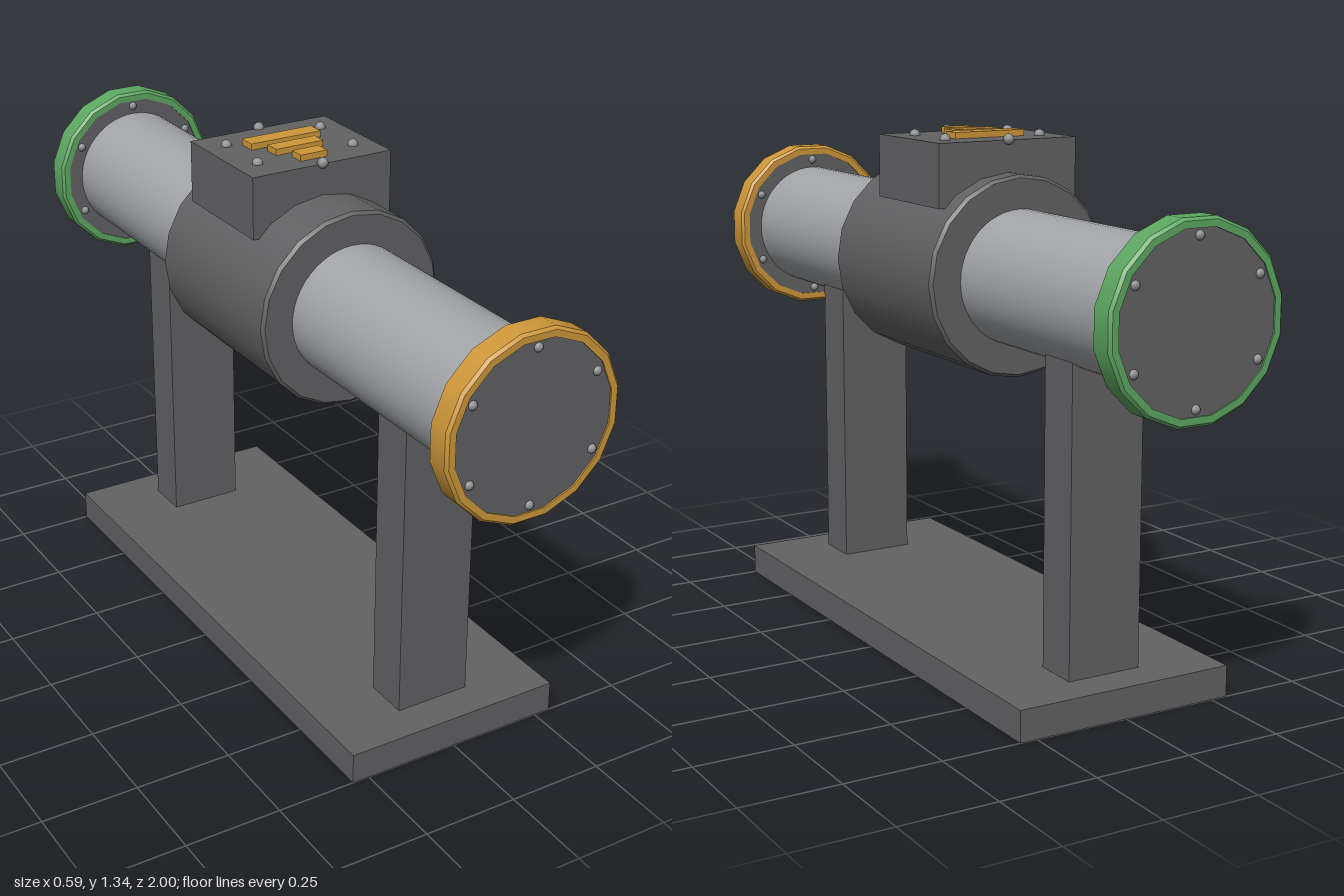
import * as THREE from 'three';

const mat = (name, color) => Object.assign(new THREE.MeshStandardMaterial({ color }), { name });

export function createModel() {
  const dark = mat('darkGrey', 0x626264);
  const steel = mat('pipeGrey', 0xa2a4a8);
  const amber = mat('amber', 0xcf983a);
  const green = mat('green', 0x5ea862);
  const boltGrey = mat('boltGrey', 0x8c8e90);

  const model = new THREE.Group();
  model.name = 'pipeStand';
  const AXIS_Y = 0.993;

  function add(parent, name, geometry, material, x = 0, y = 0, z = 0) {
    const mesh = new THREE.Mesh(geometry, material);
    mesh.name = name;
    mesh.position.set(x, y, z);
    parent.add(mesh);
    return mesh;
  }
  const box = (w, h, d) => new THREE.BoxGeometry(w, h, d);
  const rod = (r, len, n) => new THREE.CylinderGeometry(r, r, len, n).rotateX(Math.PI / 2);

  // Ring along z with chamfered outer corners; each band gets its own crease
  function ring(inner, outer, len, bevel, sides, turn) {
    const h = len / 2;
    const p = [[inner, -h], [outer - bevel, -h], [outer, -h + bevel], [outer, h - bevel], [outer - bevel, h], [inner, h], [inner, -h]];
    const group = new THREE.Group();
    for (let i = 0; i < p.length - 1; i++) {
      const pts = [p[i], p[i + 1]].map(([r, y]) => new THREE.Vector2(r, y));
      const g = new THREE.LatheGeometry(pts, sides, turn).rotateX(Math.PI / 2);
      group.userData[i] = g;
    }
    return Object.values(group.userData);
  }
  function addRing(parent, name, geometries, material, y, z) {
    const g = new THREE.Group();
    g.name = name;
    g.position.set(0, y, z);
    geometries.forEach((geo) => add(g, name + 'Face', geo, material));
    parent.add(g);
  }

  // Base and legs
  add(model, 'basePlate', box(0.59, 0.08, 1.5), dark, 0, 0.04, 0);
  for (const s of [1, -1]) {
    add(model, s > 0 ? 'frontLeg' : 'backLeg', box(0.2, 0.78, 0.118), dark, 0, 0.469, s * 0.594);
  }

  // Pipe and the thick collar around its middle
  add(model, 'pipe', rod(0.17, 1.9, 48), steel, 0, AXIS_Y, 0);
  addRing(model, 'collar', ring(0.165, 0.255, 0.512, 0.008, 20, 0), dark, AXIS_Y, 0);

  // End flanges: coloured rim, dark disc, six bolts through each
  const boltGeo = new THREE.SphereGeometry(0.012, 10, 8);
  for (const s of [1, -1]) {
    const flange = new THREE.Group();
    flange.name = s > 0 ? 'frontFlange' : 'backFlange';
    flange.position.set(0, AXIS_Y, s * 0.962);
    addRing(flange, 'rim', ring(0.212, 0.236, 0.068, 0.007, 16, Math.PI / 16), s > 0 ? amber : green, 0, 0);
    add(flange, 'disc', rod(0.216, 0.06, 48), dark);
    for (let i = 0; i < 6; i++) {
      const a = Math.PI / 2 + (i * Math.PI) / 3;
      for (const side of [-1, 1]) {
        add(flange, 'flangeBolt', boltGeo, boltGrey, 0.192 * Math.cos(a), 0.192 * Math.sin(a), side * 0.028);
      }
    }
    model.add(flange);
  }

  // Control box on the collar
  const BOX_TOP = 1.328;
  add(model, 'controlBox', box(0.394, 0.16, 0.315), dark, 0, BOX_TOP - 0.08, -0.041);

  // Three raised bars, shrinking towards the front
  [[0.2, -0.084, 0.048], [0.136, -0.015, 0.042], [0.076, 0.053, 0.042]].forEach(([w, z, d]) => {
    add(model, 'indicatorBar', box(w, 0.022, d), amber, 0, BOX_TOP + 0.005, z);
  });

  // Bolts on the box lid
  const lidBolt = new THREE.SphereGeometry(0.014, 10, 8);
  [[0, -0.199], [0.137, -0.122], [-0.137, -0.122], [0.137, 0.035], [-0.137, 0.035], [0, 0.115]].forEach(([x, z]) => {
    add(model, 'lidBolt', lidBolt, boltGrey, x, BOX_TOP + 0.002, z);
  });

  return model;
}
